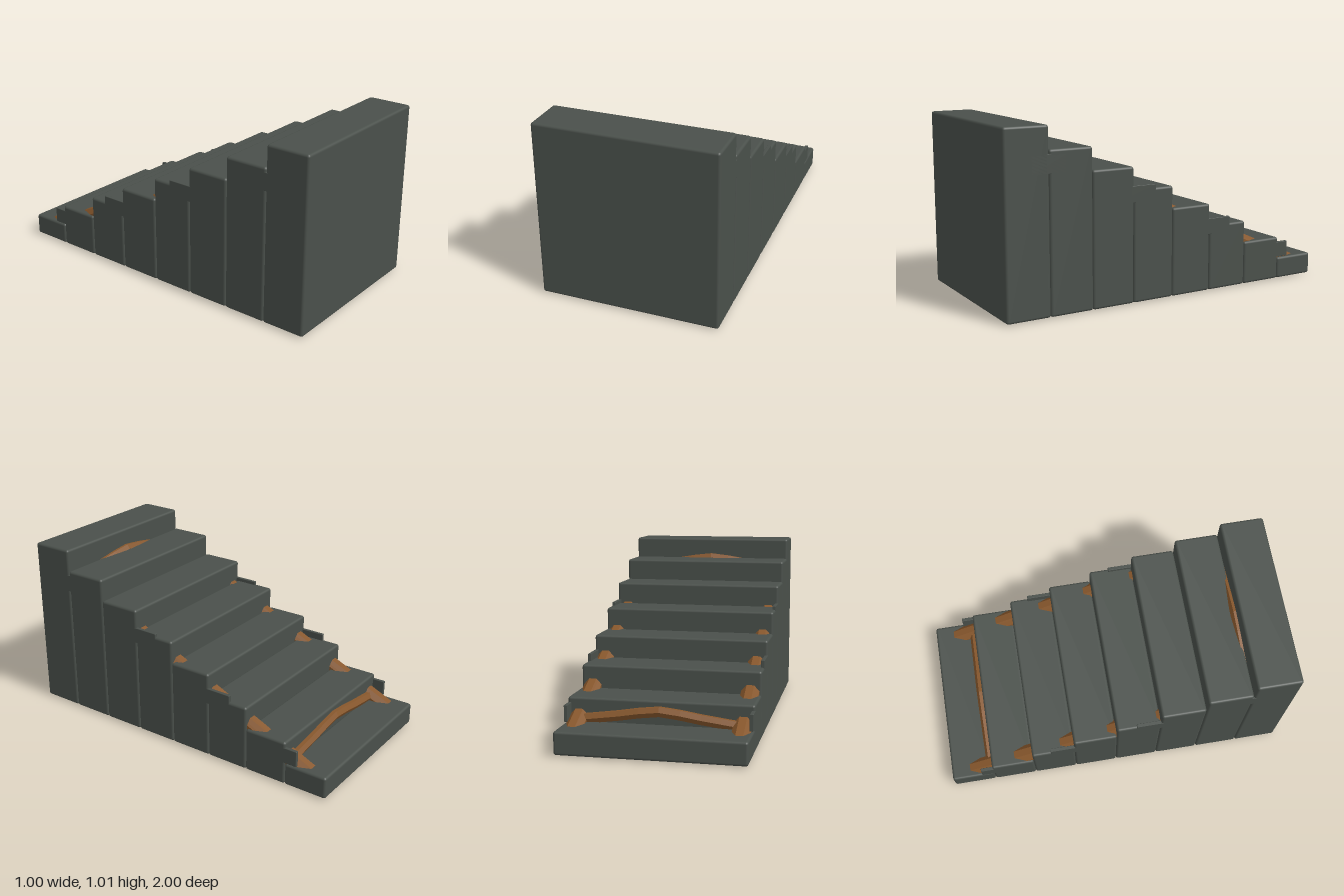
import * as THREE from 'three';
import { RoundedBoxGeometry } from 'three/addons/geometries/RoundedBoxGeometry.js';

export function createModel() {
  const model = new THREE.Group();
  model.name = 'staircase';
  const stone = new THREE.MeshStandardMaterial({ name: 'dark stone', color: 0x4a504b });
  const wood = new THREE.MeshStandardMaterial({ name: 'brown root', color: 0x87572c });
  wood.flatShading = true;

  const add = (name, geometry, material, x, y, z) => {
    const mesh = new THREE.Mesh(geometry, material);
    mesh.name = name;
    mesh.position.set(x, y, z);
    model.add(mesh);
    return mesh;
  };

  // Solid steps, tallest at the front
  for (let i = 0; i < 8; i++) {
    const h = 1 - i * 0.125;
    add('step', new RoundedBoxGeometry(1, h, 0.25, 2, 0.014), stone, 0, h / 2, 0.875 - i * 0.25);
  }

  // Thin side plates bridging pairs of steps: [centre y, height, centre z, depth]
  const plates = [
    [0.8, 0.1, 0.75, 0.2],
    [0.6, 0.09, 0.25, 0.275],
    [0.37, 0.09, -0.25, 0.28],
    [0.175, 0.09, -0.75, 0.14],
  ];
  for (const side of [-1, 1]) {
    for (const [y, h, z, d] of plates) {
      add('sidePlate', new RoundedBoxGeometry(0.02, h, d, 1, 0.003), stone, side * 0.49, y, z);
    }

    // Sloping root running through the steps, showing on each tread
    const slope = 0.446, radius = 0.053, length = 1.45;
    const geometry = new THREE.CylinderGeometry(radius, radius, length, 8);
    geometry.rotateY(Math.PI / 8);
    geometry.rotateX(Math.PI / 2 - Math.atan(slope));
    const z = -0.3;
    const top = 0.125 + slope * (z + 0.89);
    const drop = radius * Math.cos(Math.PI / 8) * Math.hypot(1, slope);
    add('slopingRoot', geometry, wood, side * 0.438, top - drop, z);
  }

  // Arched roots across the stairs: [peak y, z]
  for (const [y, z] of [[0.195, -0.757], [0.877, 0.75]]) {
    const points = [[-0.44, -0.06], [-0.2, -0.028], [0, 0], [0.2, -0.028], [0.44, -0.06]]
      .map(([px, py]) => new THREE.Vector3(px, py, 0));
    const path = new THREE.CatmullRomCurve3(points);
    add('archedRoot', new THREE.TubeGeometry(path, 8, 0.03, 6), wood, 0, y, z);
  }

  return model;
}
